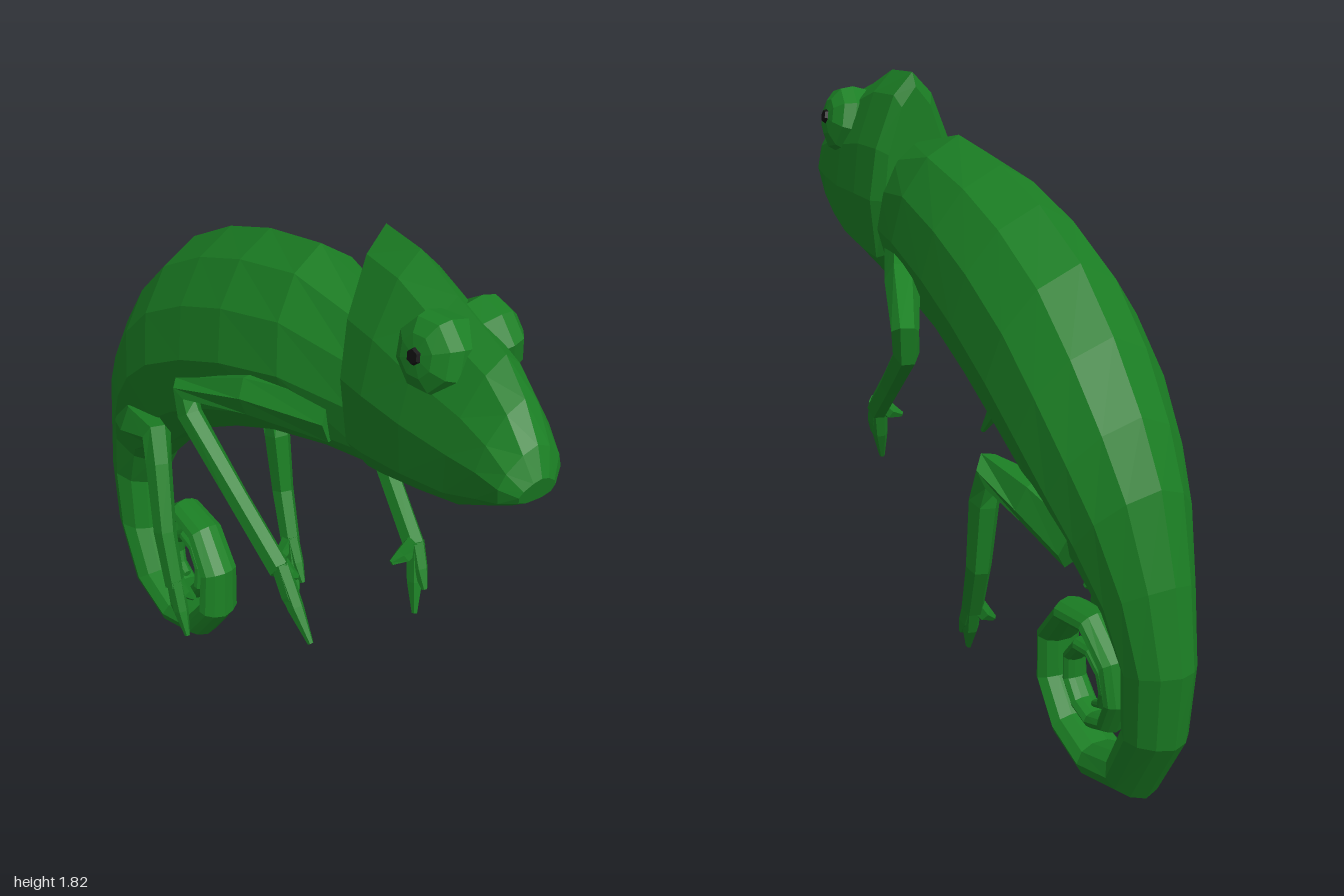
import * as THREE from 'three';

const skin = new THREE.MeshStandardMaterial({ color: 0x1b7f24, flatShading: true });
const black = new THREE.MeshStandardMaterial({ color: 0x111111, flatShading: true });

// Piecewise linear lookup in a list of [key, value] pairs
function lookup(table, k) {
  let i = 1;
  while (i < table.length - 1 && k > table[i][0]) i++;
  const [a, va] = table[i - 1], [b, vb] = table[i];
  return THREE.MathUtils.lerp(va, vb, (k - a) / (b - a));
}

// The spine runs diagonally across the ground and leans a little
const spine = [[-1, -0.235], [-0.75, -0.17], [-0.5, -0.11], [0, 0.02], [0.3, 0.118], [0.6, 0.19], [0.85, 0.24], [1, 0.255]];
const SIDE = new THREE.Vector3(0.965, 0, -0.26);
function place(u, y, z) {
  const x = lookup(spine, z) + 0.05 * (y - 1);
  return new THREE.Vector3(x, y, z).addScaledVector(SIDE, u);
}

// Skin a list of equal rings, close both ends, keep the faces outward
function loft(name, rings) {
  const n = rings[0].length, pts = rings.flat(), index = [];
  for (let r = 0; r < rings.length - 1; r++) {
    for (let i = 0; i < n; i++) {
      const a = r * n + i, b = r * n + (i + 1) % n;
      index.push(a, b, b + n, a, b + n, a + n);
    }
  }
  [0, rings.length - 1].forEach((r, end) => {
    const c = new THREE.Vector3();
    rings[r].forEach((p) => c.addScaledVector(p, 1 / n));
    const ci = pts.push(c) - 1;
    for (let i = 0; i < n; i++) {
      const a = r * n + i, b = r * n + (i + 1) % n;
      if (end) index.push(a, b, ci); else index.push(b, a, ci);
    }
  });
  let volume = 0;
  const cross = new THREE.Vector3();
  for (let i = 0; i < index.length; i += 3) {
    volume += pts[index[i]].dot(cross.crossVectors(pts[index[i + 1]], pts[index[i + 2]]));
  }
  if (volume < 0) index.reverse();
  const geo = new THREE.BufferGeometry().setFromPoints(pts);
  geo.setIndex(index);
  const flat = geo.toNonIndexed();
  flat.computeVertexNormals();
  const mesh = new THREE.Mesh(flat, skin);
  mesh.name = name;
  return mesh;
}

// Symmetric ring between a top point and a bottom point, halfwidth w
function section(half, [tz, ty, bz, by, w]) {
  const mirrored = half.slice(1).reverse().map(([u, v]) => [-u, v]);
  return [...half, ...mirrored].map(([u, v]) => place(
    u * w, THREE.MathUtils.lerp(by, ty, v), THREE.MathUtils.lerp(bz, tz, v)));
}

// Six-sided tapering limb through points [x, y, z, radius]
function limb(name, path) {
  const p = path.map(([x, y, z]) => new THREE.Vector3(x, y, z));
  const rings = p.map((c, k) => {
    const t = new THREE.Vector3();
    if (k > 0) t.add(p[k].clone().sub(p[k - 1]).normalize());
    if (k < p.length - 1) t.add(p[k + 1].clone().sub(p[k]).normalize());
    t.normalize();
    const a = new THREE.Vector3(1, 0, 0).cross(t).normalize();
    const b = t.clone().cross(a);
    return Array.from({ length: 6 }, (_, i) => {
      const ang = (i + 0.5) * Math.PI / 3, r = path[k][3];
      return c.clone().addScaledVector(a, Math.cos(ang) * r).addScaledVector(b, Math.sin(ang) * r * 0.85);
    });
  });
  return loft(name, rings);
}

// Leg with two long toes and a short opposing one
function leg(name, path, toes) {
  const g = new THREE.Group();
  g.name = name;
  g.add(limb(name + 'Limb', path));
  const [x, y, z, r] = path[path.length - 1];
  toes.forEach(([tx, ty, tz]) => g.add(limb(name + 'Toe', [
    [x, y + 0.02, z, r * 0.85],
    [(x + tx) / 2, (y + ty) / 2, (z + tz) / 2, r * 0.75],
    [tx, ty, tz, 0.01],
  ])));
  return g;
}

export function createModel() {
  const model = new THREE.Group();
  model.name = 'chameleon';

  // Body: arched back narrowing into the tail (top z, y, belly z, y, halfwidth)
  const bodyHalf = [[0, 1], [0.5, 0.89], [0.87, 0.68], [1, 0.42], [0.75, 0.14], [0.3, 0]];
  const bodyRows = [
    [0.33, 1.6, 0.4, 1.17, 0.12],
    [0.06, 1.665, 0.2, 1.14, 0.185],
    [-0.17, 1.62, -0.02, 1.08, 0.215],
    [-0.37, 1.55, -0.2, 1.0, 0.225],
    [-0.57, 1.44, -0.38, 0.9, 0.23],
    [-0.72, 1.29, -0.5, 0.82, 0.22],
    [-0.84, 1.12, -0.6, 0.73, 0.195],
    [-0.92, 0.96, -0.67, 0.66, 0.165],
    [-0.975, 0.725, -0.75, 0.57, 0.125],
    [-1.0, 0.49, -0.81, 0.45, 0.1],
  ];
  // Coiled tail: outer radius, thickness and halfwidth against turns
  const outer = [[0, 0.4], [0.25, 0.27], [0.5, 0.24], [0.75, 0.23], [1, 0.17], [1.25, 0.135], [1.75, 0.12], [2.25, 0.075]];
  const thick = [[0, 0.17], [0.25, 0.1], [0.5, 0.085], [0.75, 0.065], [1.25, 0.05], [2, 0.04], [2.25, 0.02]];
  const width = [[0, 0.09], [0.5, 0.068], [1, 0.048], [2, 0.025], [2.25, 0.012]];
  for (let i = 0; i <= 20; i++) {
    const t = i / 9, a = t * Math.PI * 2, ro = lookup(outer, t), ri = ro - lookup(thick, t);
    const c = Math.cos(a), s = Math.sin(a);
    bodyRows.push([-0.565 - ro * c, 0.27 - ro * s, -0.565 - ri * c, 0.27 - ri * s, lookup(width, t)]);
  }
  model.add(loft('bodyAndTail', bodyRows.map((r) => section(bodyHalf, r))));

  // Head with a tall casque and blunt snout
  const headHalf = [[0, 1], [0.42, 0.9], [0.84, 0.66], [1, 0.42], [0.88, 0.14], [0.4, 0]];
  const headRows = [
    [0.285, 1.77, 0.33, 1.2, 0.11],
    [0.3, 1.81, 0.38, 1.17, 0.143],
    [0.445, 1.8, 0.45, 1.185, 0.152],
    [0.6, 1.74, 0.6, 1.22, 0.147],
    [0.8, 1.68, 0.75, 1.26, 0.125],
    [0.89, 1.61, 0.86, 1.32, 0.113],
    [0.965, 1.53, 0.94, 1.365, 0.095],
    [1.0, 1.46, 0.98, 1.39, 0.055],
  ];
  model.add(loft('head', headRows.map((r) => section(headHalf, r))));

  // Turret eyes with small pupils, tipped slightly up and forward
  const turret = [[0.1, -0.05], [0.105, 0.01], [0.092, 0.045], [0.055, 0.068], [0, 0.075]].map(([r, h]) => new THREE.Vector2(r, h));
  for (const side of [1, -1]) {
    const eye = new THREE.Group();
    eye.name = side > 0 ? 'leftEye' : 'rightEye';
    const dome = new THREE.Mesh(new THREE.LatheGeometry(turret, 8), skin);
    dome.name = 'eyeTurret';
    const pupil = new THREE.Mesh(new THREE.CylinderGeometry(0.018, 0.025, 0.015, 6), black);
    pupil.name = 'pupil';
    pupil.position.y = 0.074;
    eye.add(dome, pupil);
    eye.position.copy(place(side * 0.078, 1.63, 0.635));
    const facing = SIDE.clone().multiplyScalar(side).add(new THREE.Vector3(0, 0.2, 0.1)).normalize();
    eye.quaternion.setFromUnitVectors(new THREE.Vector3(0, 1, 0), facing);
    model.add(eye);
  }

  // Four legs, each in its own stride
  model.add(
    leg('leftForeleg', [[0.19, 1.3, 0.27, 0.075], [0.24, 1.26, 0.05, 0.06], [0.275, 1.18, -0.19, 0.045],
      [0.27, 1.11, -0.17, 0.043], [0.27, 0.94, 0.1, 0.038], [0.28, 0.8, 0.3, 0.038]],
    [[0.26, 0.62, 0.365, 0], [0.285, 0.7, 0.37, 0], [0.205, 0.77, 0.31, 0]]),
    leg('rightForeleg', [[0.03, 1.28, 0.3, 0.075], [-0.14, 1.27, 0.1, 0.06], [-0.27, 1.2, -0.1, 0.045],
      [-0.265, 1.13, -0.08, 0.043], [-0.19, 0.96, 0.13, 0.038], [-0.125, 0.82, 0.31, 0.038]],
    [[-0.08, 0.65, 0.44, 0], [-0.1, 0.7, 0.4, 0], [-0.08, 0.8, 0.33, 0]]),
    leg('leftHindLeg', [[-0.07, 0.76, -0.73, 0.09], [0.02, 0.83, -0.6, 0.075], [0.105, 0.87, -0.48, 0.055],
      [0.115, 0.78, -0.455, 0.05], [0.125, 0.58, -0.43, 0.042], [0.125, 0.42, -0.35, 0.037]],
    [[0.12, 0.26, -0.27, 0], [0.14, 0.31, -0.27, 0], [0.06, 0.37, -0.33, 0]]),
    leg('rightHindLeg', [[-0.27, 0.76, -0.72, 0.095], [-0.3, 0.82, -0.56, 0.08], [-0.29, 0.88, -0.4, 0.053],
      [-0.295, 0.8, -0.37, 0.048], [-0.305, 0.6, -0.29, 0.042], [-0.295, 0.43, -0.23, 0.037]],
    [[-0.28, 0.28, -0.16, 0], [-0.29, 0.31, -0.2, 0], [-0.24, 0.38, -0.21, 0]]),
  );
  return model;
}
